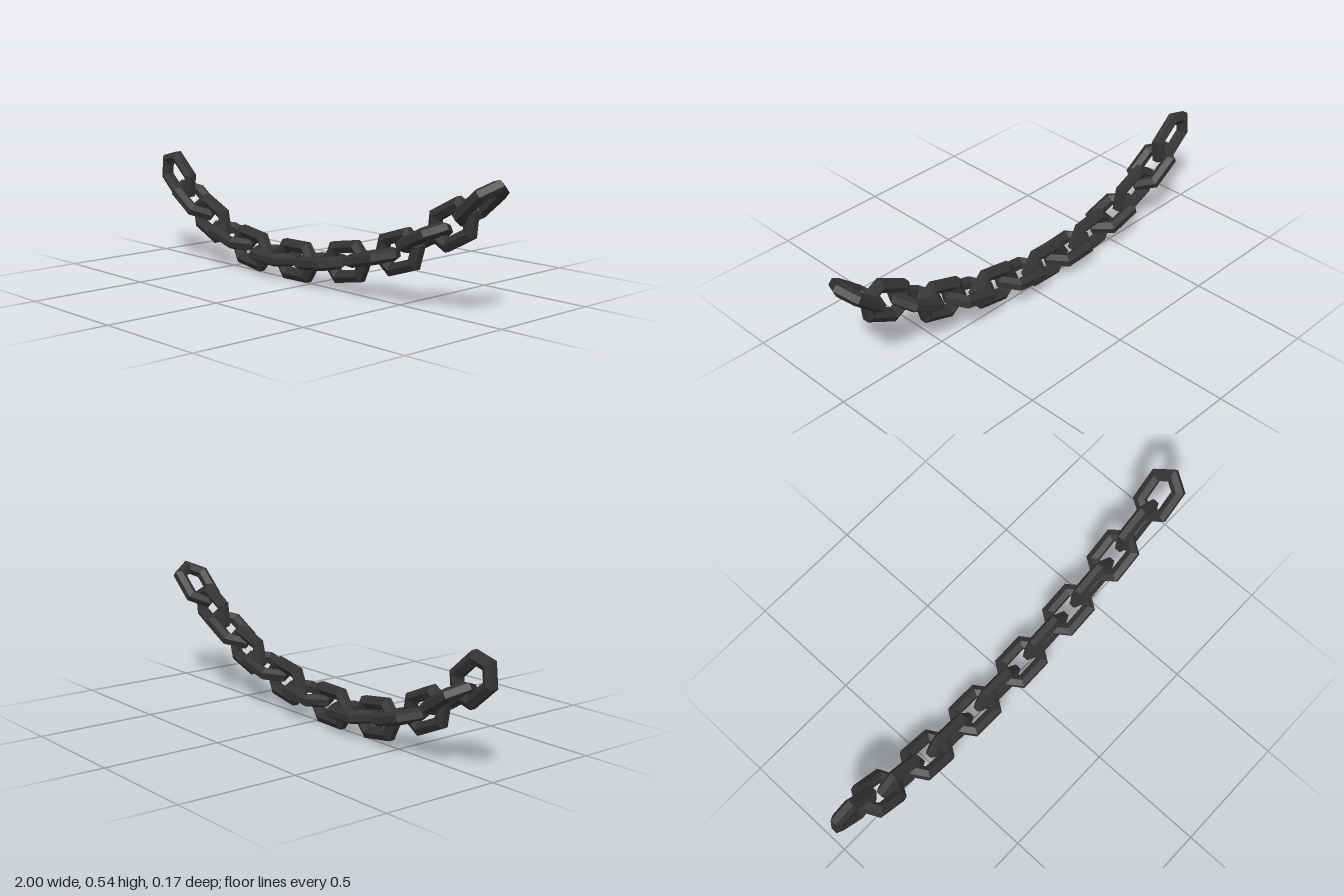
import * as THREE from 'three';

// One hexagonal link lying in the XY plane, swept with a six-sided section and mitred corners
function linkGeometry() {
  // centreline corner [x, y] and mitre direction [dx, dy]
  const shoulder = [0.0606, 0.0595, 0.0124, 0.0235];
  const tip = [0.1015, 0, 0.0285, 0];
  const mirror = ([x, y, dx, dy], sx, sy) => [x * sx, y * sy, dx * sx, dy * sy];
  const corners = [
    tip, shoulder, mirror(shoulder, -1, 1),
    mirror(tip, -1, 1), mirror(shoulder, -1, -1), mirror(shoulder, 1, -1),
  ];
  // section: [outward factor, z]
  const flat = 0.0134, ridge = 0.0276;
  const section = [[1, flat], [0, ridge], [-1, flat], [-1, -flat], [0, -ridge], [1, -flat]];

  const positions = [], index = [];
  corners.forEach(([x, y, dx, dy], i) => {
    section.forEach(([o, z], j) => {
      positions.push(x + dx * o, y + dy * o, z);
      const n = (i + 1) % 6, k = (j + 1) % 6;
      const a = i * 6 + j, b = i * 6 + k, c = n * 6 + j, d = n * 6 + k;
      index.push(a, c, b, b, c, d);
    });
  });
  const indexed = new THREE.BufferGeometry();
  indexed.setAttribute('position', new THREE.Float32BufferAttribute(positions, 3));
  indexed.setIndex(index);
  const geometry = indexed.toNonIndexed();
  geometry.computeVertexNormals();
  return geometry;
}

export function createModel() {
  const chain = new THREE.Group();
  chain.name = 'chain';
  const geometry = linkGeometry();
  const material = new THREE.MeshStandardMaterial({ color: 0x333333, flatShading: true });

  // Hanging curve: centre x, centre y, slope in degrees
  const links = [
    [-0.89, 0.356, -41], [-0.767, 0.259, -33], [-0.65, 0.19, -24], [-0.505, 0.133, -16],
    [-0.374, 0.096, -8], [-0.225, 0.086, -3], [-0.09, 0.085, 1], [0.06, 0.103, 6],
    [0.21, 0.126, 10], [0.35, 0.164, 14], [0.495, 0.208, 18], [0.62, 0.28, 27],
    [0.762, 0.35, 28], [0.89, 0.442, 41],
  ];
  links.forEach(([x, y, slope], i) => {
    // every second link is turned a quarter about the chain
    const upright = i % 2 === 0;
    const link = new THREE.Mesh(geometry, material);
    link.name = upright ? 'uprightLink' : 'flatLink';
    link.position.set(x, y, 0);
    link.rotation.set(upright ? 0 : Math.PI / 2, 0, THREE.MathUtils.degToRad(slope), 'ZYX');
    chain.add(link);
  });
  return chain;
}
